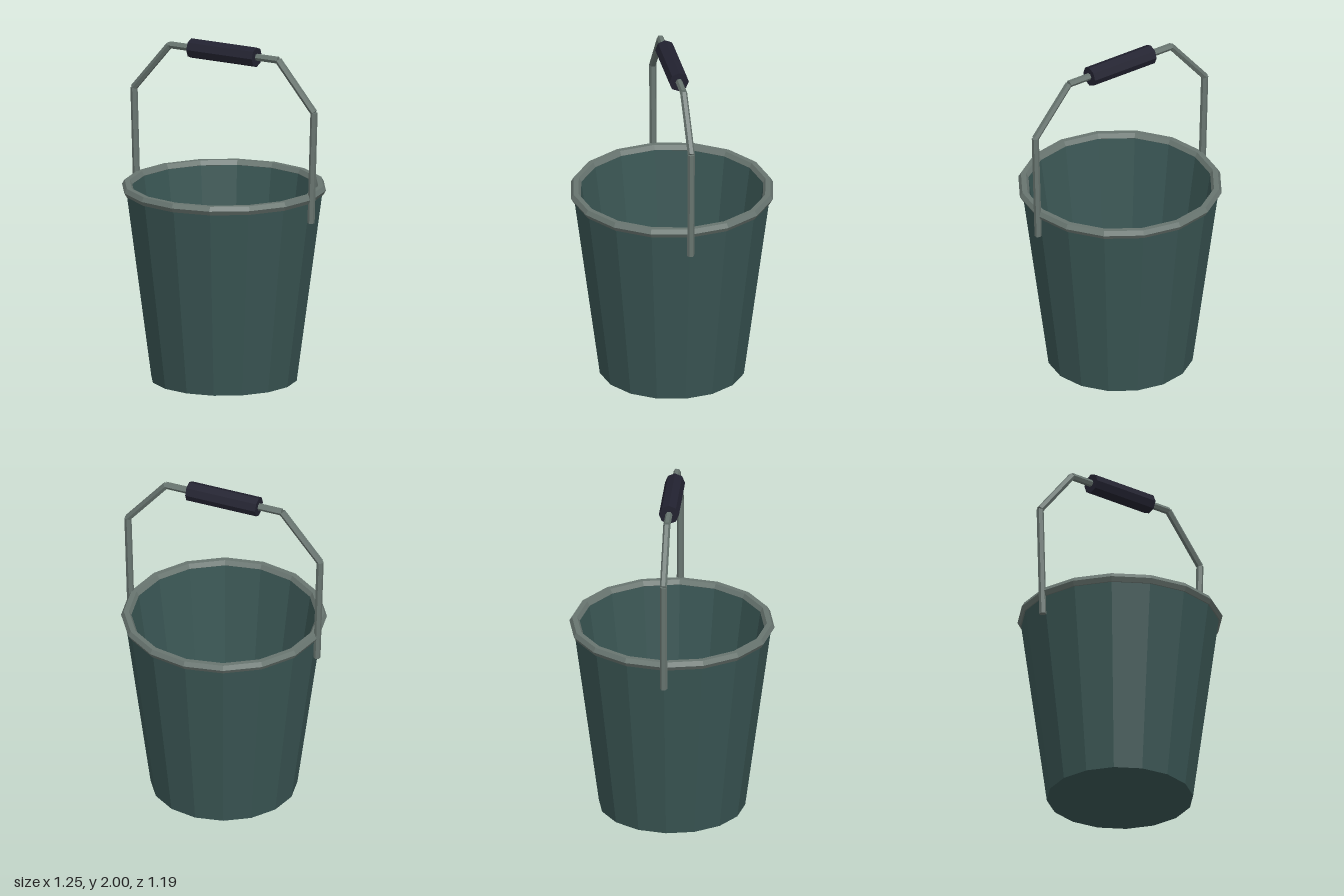
import * as THREE from 'three';

const SIDES = 16;

function material(name, color) {
  const m = new THREE.MeshStandardMaterial({ color, flatShading: true });
  m.name = name;
  return m;
}

function part(name, geometry, mat) {
  const mesh = new THREE.Mesh(geometry, mat);
  mesh.name = name;
  return mesh;
}

// Straight rod between two points
function rod(name, a, b, radius, sides, mat) {
  const dir = b.clone().sub(a);
  const mesh = part(name, new THREE.CylinderGeometry(radius, radius, dir.length(), sides), mat);
  mesh.position.copy(a).add(b).multiplyScalar(0.5);
  mesh.quaternion.setFromUnitVectors(new THREE.Vector3(0, 1, 0), dir.normalize());
  return mesh;
}

export function createModel() {
  const group = new THREE.Group();
  group.name = 'bucket';
  const teal = material('dark teal', 0x3a5654);
  const metal = material('grey metal', 0x687570);
  const dark = material('dark grip', 0x222230);

  // Tapered shell: underside, outer wall, lip, inner wall, floor
  const profile = [[0, 0], [0.425, 0], [0.577, 1.14], [0.537, 1.14], [0.378, 0.04], [0, 0.04]]
    .map(([r, y]) => new THREE.Vector2(r, y));
  group.add(part('body', new THREE.LatheGeometry(profile, SIDES), teal));

  // Six-sided rolled rim
  const rim = part('rim', new THREE.TorusGeometry(0.566, 0.03, 6, SIDES), metal);
  rim.rotation.x = Math.PI / 2;
  rim.position.y = 1.14;
  group.add(rim);

  // Bent wire handle made of straight rods
  const handle = new THREE.Group();
  handle.name = 'handle';
  const path = [[-0.585, 1.0], [-0.605, 1.66], [-0.365, 1.943], [0.365, 1.943], [0.605, 1.66], [0.585, 1.0]]
    .map(([x, y]) => new THREE.Vector3(x, y, 0));
  for (let i = 0; i < path.length - 1; i++) {
    handle.add(rod('handleRod' + (i + 1), path[i], path[i + 1], 0.021, 6, metal));
  }
  group.add(handle);

  // Octagonal grip
  group.add(rod('grip', new THREE.Vector3(-0.22, 1.942, 0), new THREE.Vector3(0.22, 1.942, 0), 0.058, 8, dark));

  return group;
}
